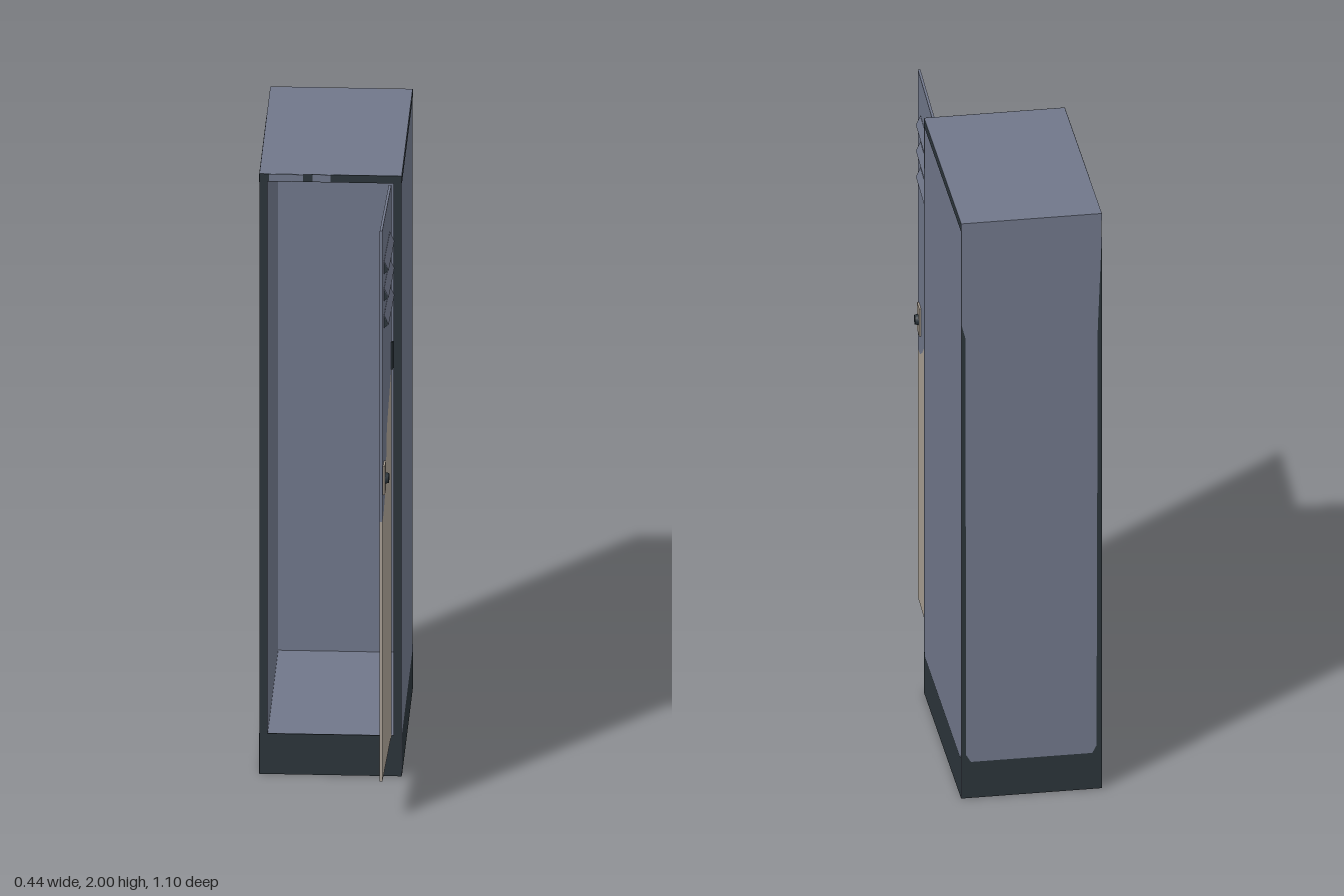
import * as THREE from 'three';

const mat = (name, color, side = THREE.FrontSide) => {
  const m = new THREE.MeshStandardMaterial({ color, side });
  m.name = name;
  return m;
};

export function createModel() {
  const root = new THREE.Group();
  root.name = 'locker';
  const slate = mat('slate paint', 0x70778a, THREE.DoubleSide);
  const dark = mat('dark trim', 0x2b343a, THREE.DoubleSide);
  const tan = mat('tan primer', 0xa89e92);

  const add = (parent, name, geometry, material, x = 0, y = 0, z = 0) => {
    const m = new THREE.Mesh(geometry, material);
    m.name = name;
    m.position.set(x, y, z);
    parent.add(m);
    return m;
  };
  // box given by its two extreme corners
  const box = (parent, name, material, [x0, y0, z0], [x1, y1, z1]) =>
    add(parent, name, new THREE.BoxGeometry(x1 - x0, y1 - y0, z1 - z0), material,
      (x0 + x1) / 2, (y0 + y1) / 2, (z0 + z1) / 2);
  const shapeOf = pts => new THREE.Shape(pts.map(p => new THREE.Vector2(...p)));

  // Cabinet shell
  const X = 0.219, W = 0.195, F = 0.169, B = -0.549;
  for (const s of [-1, 1])
    box(root, s < 0 ? 'rightWall' : 'leftWall', slate,
      [s < 0 ? -X : W, 0.002, B], [s < 0 ? -W : X, 1.975, F]);
  box(root, 'backWall', slate, [-W, 0.002, B], [W, 1.975, B + 0.02]);
  box(root, 'roof', slate, [-0.22, 1.975, -0.55], [0.22, 2, F]);
  box(root, 'floor', slate, [-W, 0.11, B + 0.02], [W, 0.13, F]);
  box(root, 'underside', slate, [-0.22, 0, -0.55], [0.22, 0.003, F]);

  // Dark frame around the front opening
  const frame = shapeOf([[-0.22, 0], [0.22, 0], [0.22, 2], [-0.22, 2]]);
  frame.holes.push(shapeOf([[-W, 0.135], [W, 0.135], [W, 1.975], [-W, 1.975]]));
  add(root, 'frontFrame',
    new THREE.ExtrudeGeometry(frame, { depth: 0.003, bevelEnabled: false }), dark, 0, 0, 0.167);
  for (const [a, b] of [[-0.19, -0.085], [-0.055, 0.0]])
    box(root, 'lintelPaint', slate, [a, 1.977, 0.169], [b, 1.999, 0.171]);

  // Dark kick band and worn edges on the side and back faces
  const sidePaint = (name, x, pts) => {
    const g = new THREE.ShapeGeometry(shapeOf(pts));
    g.rotateY(-Math.PI / 2);
    add(root, name, g, dark, x);
  };
  sidePaint('leftBand', 0.2205, [
    [-0.55, 0], [0.17, 0], [0.17, 1.85], [0.162, 1.82], [0.155, 1.6],
    [0.155, 0.15], [0.145, 0.135], [-0.535, 0.135], [-0.545, 0.15], [-0.55, 0.15]]);
  sidePaint('leftTopEdge', 0.2205, [[-0.55, 1.972], [0.17, 1.972], [0.17, 2], [-0.55, 2]]);
  sidePaint('rightBand', -0.2205, [
    [-0.55, 0], [0.17, 0], [0.17, 0.135], [-0.52, 0.135], [-0.535, 0.16],
    [-0.537, 1.5], [-0.55, 1.75]]);
  sidePaint('rightTopEdge', -0.2205, [[-0.33, 2], [-0.2, 1.982], [0.17, 1.972], [0.17, 2]]);
  add(root, 'backBand', new THREE.ShapeGeometry(shapeOf([
    [-0.22, 0], [0.22, 0], [0.22, 1.65], [0.207, 1.6], [0.205, 0.15], [0.19, 0.125],
    [-0.19, 0.125], [-0.203, 0.15], [-0.207, 1.6], [-0.22, 1.93]])), dark, 0, 0, -0.5505);

  // Open door: local x runs from hinge to free edge, local -z is the outer face
  const door = new THREE.Group();
  door.name = 'door';
  door.position.set(0.188, 0, 0.17);
  door.rotation.y = -Math.PI / 2 - 0.026;
  root.add(door);
  const D = 0.38, T = 0.008, y0 = 0.135, y1 = 1.97;
  const edge = [[0, 1.37], [0.03, 1.34], [0.11, 1.29], [0.17, 1.25], [0.195, 1.22], [0.208, 1.18],
    [0.22, 1.12], [0.24, 1.07], [0.28, 1.035], [0.33, 1.005], [D, 1.0]];
  const slots = [1.82, 1.73, 1.64];
  const upper = shapeOf([...edge, [D, y1], [0, y1]]);
  for (const y of slots)
    upper.holes.push(shapeOf([[0.07, y - 0.024], [0.315, y - 0.024], [0.315, y + 0.02], [0.07, y + 0.02]]));
  const lower = shapeOf([[0, y0], [D, y0], ...[...edge].reverse()]);
  const opts = { depth: T, bevelEnabled: false };
  add(door, 'doorUpper', new THREE.ExtrudeGeometry(upper, opts), slate);
  add(door, 'doorLower', new THREE.ExtrudeGeometry(lower, opts), tan);

  // Louvre hoods with dark end cheeks, open along the bottom
  for (const y of slots) {
    const hood = new THREE.BoxGeometry(0.245, 0.034, 0.002);
    hood.rotateX(0.42);
    add(door, 'louvreHood', hood, slate, 0.1925, y + 0.007, -0.007);
    for (const x of [0.07, 0.311]) {
      const cheek = new THREE.ExtrudeGeometry(
        shapeOf([[0, 0.024], [0.014, -0.008], [0, -0.02]]), { depth: 0.004, bevelEnabled: false });
      cheek.rotateY(Math.PI / 2);
      add(door, 'louvreCheek', cheek, dark, x, y, 0);
    }
  }

  // Label strip, lock plate and knob
  box(door, 'labelStrip', dark, [0.145, 1.603, -0.004], [0.215, 1.614, 0]);
  box(door, 'lockPlate', tan, [0.305, 1.08, -0.006], [0.353, 1.175, 0]);
  const knob = new THREE.CylinderGeometry(0.015, 0.018, 0.012, 16);
  knob.rotateX(-Math.PI / 2);
  add(door, 'lockKnob', knob, dark, 0.329, 1.127, -0.011);

  // Hinge on the frame edge
  box(root, 'hinge', dark, [0.186, 1.36, 0.168], [0.194, 1.45, 0.18]);
  return root;
}
